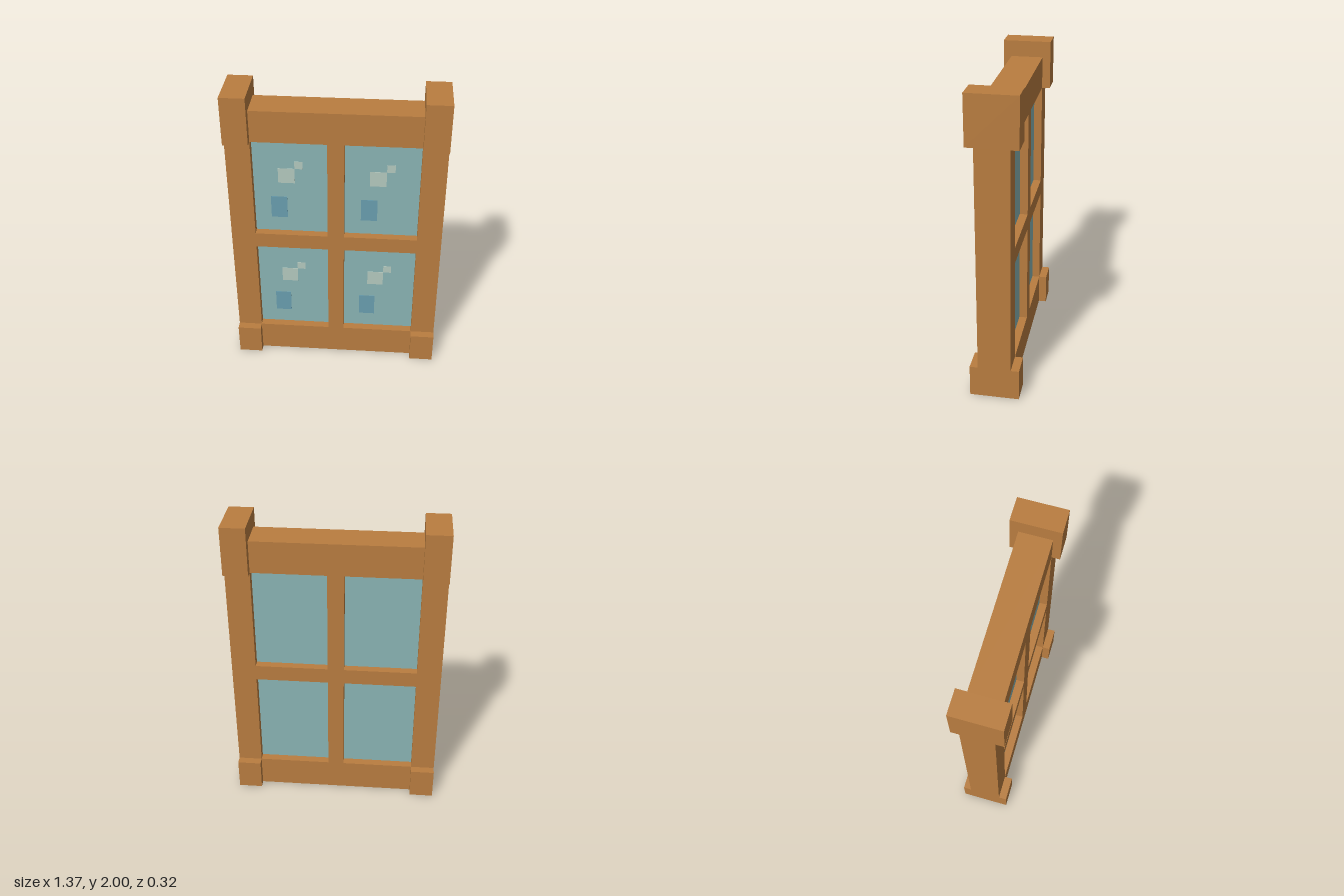
import * as THREE from 'three';

// The window is laid out on a grid of 38 units to its full height
const U = 2 / 38;

const mat = (name, color) => {
  const m = new THREE.MeshStandardMaterial({ color });
  m.name = name;
  return m;
};

// Box from grid bounds; z0 and z1 are also in grid units
function box(name, material, x0, x1, y0, y1, z0, z1) {
  const g = new THREE.BoxGeometry((x1 - x0) * U, (y1 - y0) * U, (z1 - z0) * U);
  const mesh = new THREE.Mesh(g, material);
  mesh.position.set((x0 + x1) / 2 * U, (y0 + y1) / 2 * U, (z0 + z1) / 2 * U);
  mesh.name = name;
  return mesh;
}

const points = (list) => list.map(([x, y]) => new THREE.Vector2(x * U, y * U));

export function createModel() {
  const wood = mat('wood', 0xb97d40);
  const glass = mat('glass', 0x8ab5b5);
  const paleGlint = mat('pale glint', 0xb5cac0);
  const blueGlint = mat('blue glint', 0x6a9fb0);

  const model = new THREE.Group();
  model.name = 'window';

  // Lower left corner of each of the four panes, 9 wide and 13 tall
  const panes = [[-10, 4], [1, 4], [-10, 19], [1, 19]];

  // Frame: posts, rails and crossing bars in one piece, notched for the corner blocks
  const outline = new THREE.Shape(points([
    [-10, 0], [10, 0], [10, 4], [13, 4], [13, 32], [10, 32],
    [10, 36], [-10, 36], [-10, 32], [-13, 32], [-13, 4], [-10, 4],
  ]));
  for (const [x, y] of panes) {
    outline.holes.push(new THREE.Path(points([[x, y], [x, y + 13], [x + 9, y + 13], [x + 9, y]])));
  }
  const frameGeometry = new THREE.ExtrudeGeometry(outline, { depth: 4 * U, bevelEnabled: false });
  frameGeometry.translate(0, 0, -2 * U);
  const frame = new THREE.Mesh(frameGeometry, wood);
  frame.name = 'frame';
  model.add(frame);

  // Corner blocks, taller at the top
  for (const [side, x] of [['left', 10], ['right', -13]]) {
    model.add(box(side + 'TopBlock', wood, x, x + 3, 32, 38, -3, 3));
    model.add(box(side + 'BottomBlock', wood, x, x + 3, 0, 4, -3, 3));
  }

  // Recessed panes with thin square glints on the front
  for (const [x, y] of panes) {
    const pane = new THREE.Group();
    pane.name = 'pane';
    pane.add(box('glass', glass, x, x + 9, y, y + 13, -1, 1));
    pane.add(box('largeGlint', paleGlint, x + 3, x + 5, y + 7, y + 9, 1, 1.05));
    pane.add(box('smallGlint', paleGlint, x + 5, x + 6, y + 9, y + 10, 1, 1.05));
    pane.add(box('blueGlint', blueGlint, x + 2, x + 4, y + 2, y + 5, 1, 1.05));
    model.add(pane);
  }

  return model;
}
